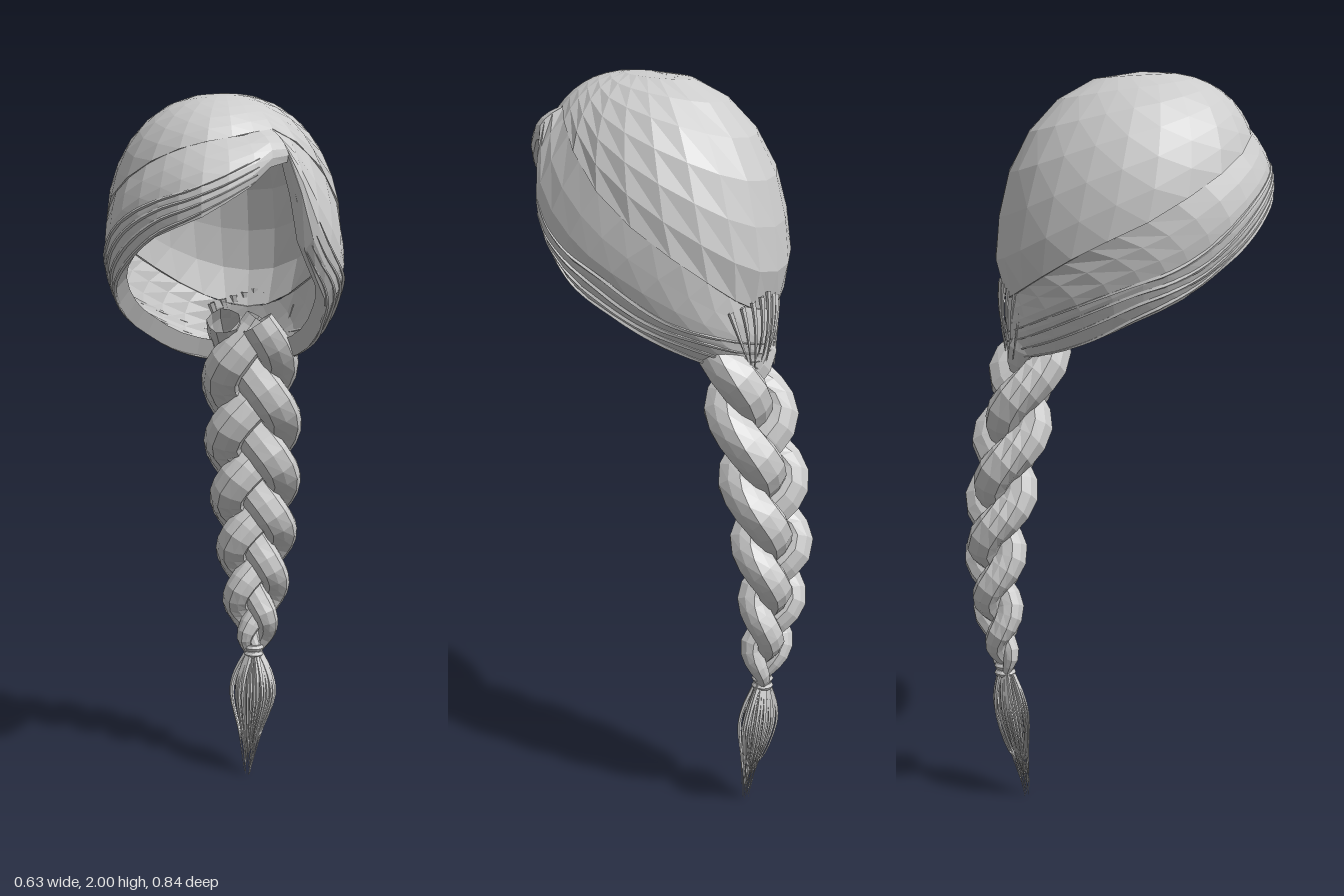
import * as THREE from 'three';

const V = (x, y, z) => new THREE.Vector3(x, y, z);
const material = new THREE.MeshStandardMaterial({ color: 0xcccccc, flatShading: true, side: THREE.DoubleSide });

// Skin a grid of points: rows run downwards, columns wrap around
function skin(rows) {
  const n = rows[0].length, index = [];
  for (let i = 0; i < rows.length - 1; i++) {
    for (let j = 0; j < n; j++) {
      const k = (j + 1) % n, a = i * n, b = a + n;
      index.push(a + j, b + j, b + k, a + j, b + k, a + k);
    }
  }
  const geometry = new THREE.BufferGeometry().setFromPoints(rows.flat());
  geometry.setIndex(index);
  geometry.computeVertexNormals();
  return geometry;
}

// Elliptical tube along a curve; radius(t) returns [across, deep]
function strand(curve, radius, steps, sides, ridge = 0) {
  const rows = [];
  for (let i = 0; i <= steps; i++) {
    const t = i / steps, p = curve.getPoint(t), T = curve.getTangent(t);
    const n1 = V(0, 0, 1).cross(T).negate().normalize();
    const n2 = n1.clone().cross(T).normalize();
    const [a, b] = radius(t);
    rows.push(Array.from({ length: sides }, (_, j) => {
      const q = (j / sides) * Math.PI * 2, k = j % 2 ? 1 - ridge : 1;
      return p.clone().addScaledVector(n1, a * k * Math.cos(q)).addScaledVector(n2, b * k * Math.sin(q));
    }));
  }
  return skin(rows);
}

// Linear lookup in a list of [key, value] pairs with falling keys
function lookup(table, key) {
  for (let i = 1; i < table.length; i++) {
    const [k0, v0] = table[i - 1], [k1, v1] = table[i];
    if (key >= k1) return THREE.MathUtils.lerp(v0, v1, THREE.MathUtils.clamp((k0 - key) / (k0 - k1), 0, 1));
  }
  return table[table.length - 1][1];
}

// Sixteen stations around the head, from the front (+z) towards +x
const seamY = [1.88, 1.895, 1.91, 1.85, 1.72, 1.6, 1.5, 1.43, 1.41, 1.43, 1.48, 1.55, 1.62, 1.71, 1.79, 1.85];
const midPoints = [
  [0, 1.79, .41], [.12, 1.84, .355], [.185, 1.87, .28], [.265, 1.7, .24], [.308, 1.58, .12], [.3, 1.5, 0],
  [.24, 1.41, -.15], [.14, 1.35, -.26], [0, 1.33, -.3], [-.11, 1.35, -.265], [-.22, 1.41, -.15], [-.285, 1.48, 0],
  [-.3, 1.53, .12], [-.285, 1.61, .24], [-.22, 1.69, .335], [-.11, 1.75, .395]];
const rimPoints = [
  [0, 1.7, .42], [.11, 1.77, .37], [.19, 1.83, .28], [.23, 1.61, .24], [.27, 1.48, .14], [.25, 1.4, .02],
  [.2, 1.32, -.1], [.12, 1.27, -.22], [.02, 1.25, -.29], [-.08, 1.26, -.25], [-.17, 1.3, -.12], [-.23, 1.36, 0],
  [-.26, 1.42, .12], [-.265, 1.5, .22], [-.22, 1.57, .31], [-.12, 1.65, .395]];
const ring = pts => new THREE.CatmullRomCurve3(pts.map(p => V(...p)), true, 'catmullrom', 0.5);
const seamRing = ring(seamY.map((y, i) => [i, y, 0]));
const midRing = ring(midPoints), rimRing = ring(rimPoints);

// Egg of the skull: leans forward, fuller at the top, wider at the right of the brow
function skull(u, polar, scale = 1) {
  const a = u * Math.PI * 2, h = Math.cos(polar);
  const brow = 1 + .1 * Math.max(0, Math.cos(a - 5.5)) ** 2;
  const r = Math.sin(polar) ** (h > 0 ? .88 : 1) * scale * brow;
  const lean = Math.max(h, 0) * (.065 + .02 * Math.cos(a)) + Math.min(h, 0) * .1;
  return V(.3 * r * Math.sin(a), 1.64 + .36 * h, .02 + lean + .33 * r * Math.cos(a));
}
const seamPolar = u => Math.acos((seamRing.getPoint(u).y - 1.64) / .36);

// Swept hair between the seam (v = 0) and the rim (v = 1)
function swept(u, v) {
  const a = skull(u, seamPolar(u), .98), m = midRing.getPoint(u), b = rimRing.getPoint(u);
  const c = m.multiplyScalar(2).addScaledVector(a, -.5).addScaledVector(b, -.5);
  return new THREE.QuadraticBezierCurve3(a, c, b).getPoint(v);
}

export function createModel() {
  const model = new THREE.Group();
  const add = (name, geometry, parent = model) => {
    const mesh = new THREE.Mesh(geometry, material);
    mesh.name = name;
    parent.add(mesh);
    return mesh;
  };
  const group = name => {
    const g = new THREE.Group();
    g.name = name;
    model.add(g);
    return g;
  };
  const around = (count, fn) => Array.from({ length: count }, (_, j) => fn(j / count));

  // Crown with a small lip turned in at the seam
  const crownRows = [];
  for (let i = 0; i <= 7; i++) crownRows.push(around(24, u => skull(u, seamPolar(u) * i / 7)));
  crownRows.push(around(24, u => skull(u, seamPolar(u), .95)));
  add('crownHair', skin(crownRows));

  // Side-parted fringe and sides, folded inwards at the rim
  const sweptRows = [];
  for (let i = 0; i <= 5; i++) sweptRows.push(around(32, u => swept(u, i / 5)));
  for (const k of [.05, .1]) {
    sweptRows.push(around(32, u => swept(u, 1).lerp(V(0, 1.68, .02), k).add(V(0, k * .15, 0))));
  }
  add('sweptHair', skin(sweptRows));

  // Fine locks combed from the parting to the nape on both sides
  const locks = group('combedLocks');
  for (const end of [.49, -.49]) {
    for (let i = 0; i < 4; i++) {
      const v = .55 + i * .14, start = end > 0 ? .19 : .07;
      const pts = Array.from({ length: 14 }, (_, k) => {
        const u = start + (end - start) * k / 13;
        return swept((u + 1) % 1, Math.min(1, v + .03 * Math.sin(k + i)));
      });
      add('lock', strand(new THREE.CatmullRomCurve3(pts),
        t => Array(2).fill(.001 + .005 * Math.sin(Math.PI * t)), 36, 4), locks);
    }
  }

  // Loose wisps gathered at the nape
  const nape = group('napeWisps');
  for (let i = 0; i < 9; i++) {
    const s = i / 4 - 1;
    const curve = new THREE.QuadraticBezierCurve3(V(.02 + .12 * s, 1.46 - .04 * Math.abs(s), -.308 + .04 * s * s),
      V(.02 + .1 * s, 1.36, -.32 + .04 * s * s), V(.02 + .07 * s, 1.25 + .02 * (i % 3), -.29));
    add('wisp', strand(curve, t => [.011 * (1 - .8 * t), .006 * (1 - .8 * t)], 8, 5), nape);
  }

  // Three-strand braid, narrowing towards the tie
  const braid = group('braid');
  const taper = [[1.38, .8], [1.25, .98], [1, 1], [.75, .88], [.5, .64], [.42, .42], [.37, .2]];
  const depth = [[1.38, -.18], [1.2, -.245], [1, -.295], [.75, -.335], [.6, -.335], [.37, -.31]];
  const heightAt = t => 1.38 - 1.01 * (1.2 * t - .2 * t * t);
  for (let k = 0; k < 3; k++) {
    const pts = Array.from({ length: 49 }, (_, i) => {
      const y = heightAt(i / 48), s = lookup(taper, y);
      const a = i / 48 * Math.PI * 4 + k * Math.PI * 2 / 3 + .5;
      return V(.02 + .086 * s * Math.sin(a), y, lookup(depth, y) + .042 * s * Math.sin(2 * a));
    });
    add('braidStrand', strand(new THREE.CatmullRomCurve3(pts), t => {
      const s = lookup(taper, heightAt(t));
      return [.062 * s, .056 * s];
    }, 40, 10, .08), braid);
  }

  // Tie at the end of the braid
  for (const y of [.385, .365]) {
    const tie = add('braidTie', new THREE.TorusGeometry(.02, .01, 6, 12));
    tie.rotation.x = Math.PI / 2;
    tie.position.set(.02, y, -.31);
  }

  // Tassel: a slim core and tapering hairs that swell, then close to a point
  const tassel = group('tassel');
  const core = new THREE.CatmullRomCurve3([V(.02, .38, -.31), V(.02, .25, -.298), V(.015, .13, -.275), V(.01, .04, -.258)]);
  add('tasselCore', strand(core, t => {
    const r = .012 + .04 * Math.sin(Math.PI * Math.min(1, t * 1.15)) * (1 - .5 * t);
    return [r * (1 - .9 * t * t), r * .8 * (1 - .9 * t * t)];
  }, 10, 12, .2), tassel);
  for (let i = 0; i < 36; i++) {
    const a = i * 2.4, w = .6 + .4 * ((i * 7) % 10) / 10, c = Math.cos(a) * w, s = Math.sin(a) * w;
    const end = .11 * ((i * 5) % 12) / 12;
    const hair = new THREE.CatmullRomCurve3([
      V(.02 + .015 * c, .38, -.31 + .015 * s), V(.02 + .06 * c, .3, -.303 + .044 * s),
      V(.02 + .07 * c, .24, -.295 + .05 * s), V(.015 + .036 * c, .13, -.275 + .028 * s),
      V(.01 + .01 * c, end, -.257 + .01 * s)]);
    add('tasselHair', strand(hair, t => [.008 * (1 - .9 * t), .006 * (1 - .9 * t)], 14, 4), tassel);
  }
  return model;
}
